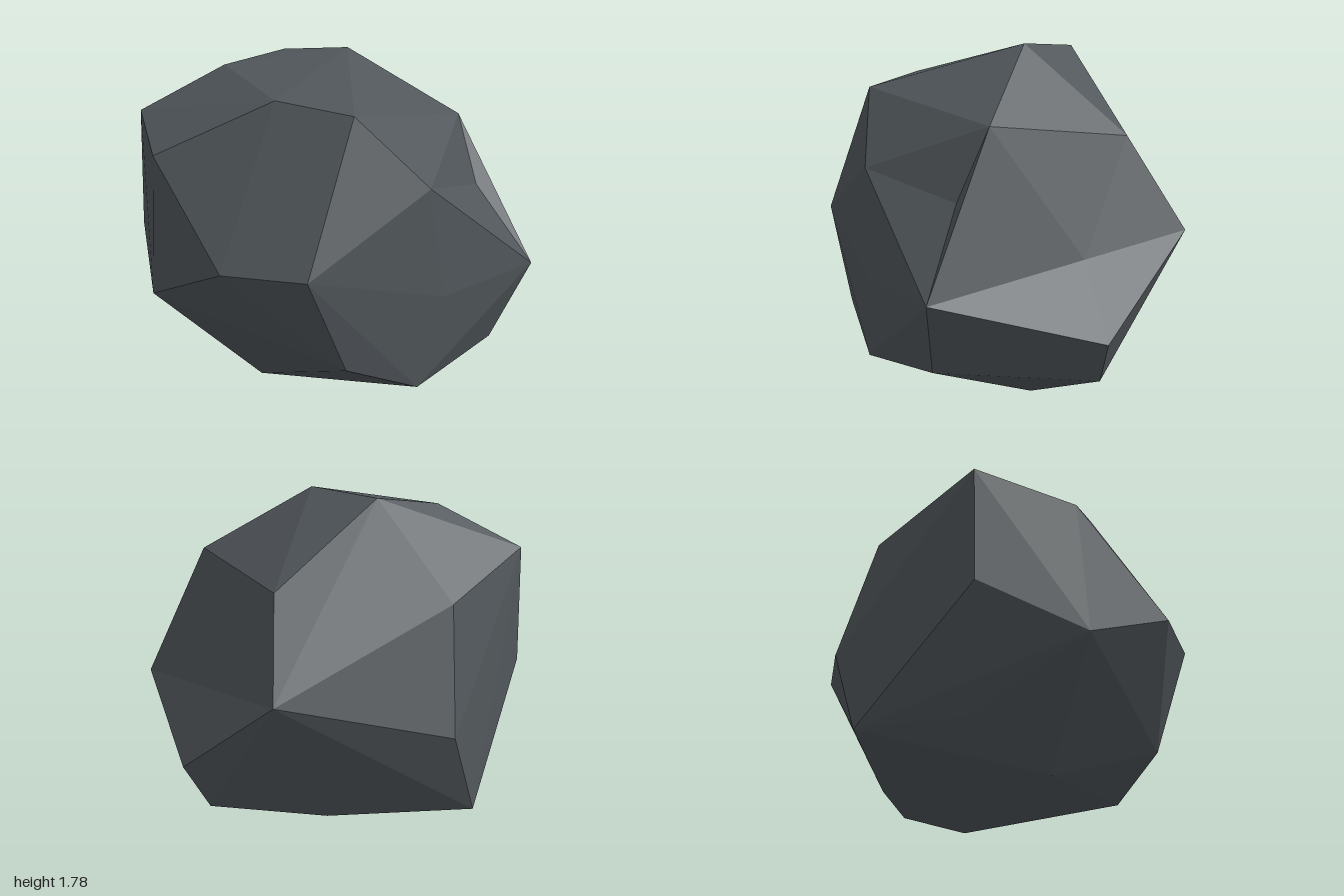
import * as THREE from 'three';
import { ConvexGeometry } from 'three/addons/geometries/ConvexGeometry.js';

const CENTRE = new THREE.Vector3(0, 0.85, 0);

// Corners of the boulder, from the crown down to the base: x, y, z.
// A fourth value marks a dent: how far the corner is lifted before skinning.
const CORNERS = [
  // crown
  [0.18, 1.78, 0.05], [0.03, 1.75, -0.33], [-0.37, 1.69, -0.33],
  [-0.53, 1.59, 0.36], [-0.33, 1.54, 0.72],
  // shoulders
  [0.61, 1.43, 0.48], [0.63, 1.33, -0.30], [-0.13, 1.26, -0.76],
  [-0.76, 1.45, -0.57], [-0.96, 1.30, -0.09], [0.02, 1.17, 0.89],
  [0.59, 1.07, 0.65, 1.09],
  // waist
  [0.79, 0.76, 0.05, 1.25], [0.80, 0.84, -0.56], [-0.03, 0.62, -0.92],
  [-0.77, 0.82, -0.57], [-1.00, 0.59, -0.07], [-0.95, 0.82, 0.49],
  [-0.70, 0.82, 0.84], [0.10, 0.61, 0.92], [0.78, 0.65, 0.90],
  // foot
  [1.00, 0.38, 0.04], [0.87, 0.14, 0.00], [0.59, 0.24, 0.79],
  [-0.03, 0.14, 0.88], [-0.45, 0.32, 0.82], [-0.50, 0.25, -0.42, 1.04],
  [-0.20, 0.18, -0.88],
  // underside
  [0.39, 0.11, -0.40], [-0.45, 0.06, 0.10], [0.04, 0.00, 0.05], [0.52, 0.00, 0.20],
];

// Skin the lifted corners with a convex hull, then press the dents back in.
function boulderGeometry() {
  const points = CORNERS.map(([x, y, z]) => new THREE.Vector3(x, y, z));
  const lifted = points.map((p, i) =>
    p.clone().sub(CENTRE).multiplyScalar(CORNERS[i][3] ?? 1).add(CENTRE));
  const geometry = new ConvexGeometry(lifted);
  const position = geometry.attributes.position;
  const v = new THREE.Vector3();
  for (let i = 0; i < position.count; i++) {
    v.fromBufferAttribute(position, i);
    const corner = lifted.findIndex((p) => p.distanceTo(v) < 1e-4);
    position.setXYZ(i, ...points[corner].toArray());
  }
  geometry.computeVertexNormals();
  return geometry;
}

export function createModel() {
  const stone = new THREE.MeshStandardMaterial({ color: 0x50565a, flatShading: true });
  stone.name = 'dark slate stone';

  const boulder = new THREE.Mesh(boulderGeometry(), stone);
  boulder.name = 'boulder';

  const model = new THREE.Group();
  model.name = 'rock';
  model.add(boulder);
  return model;
}
